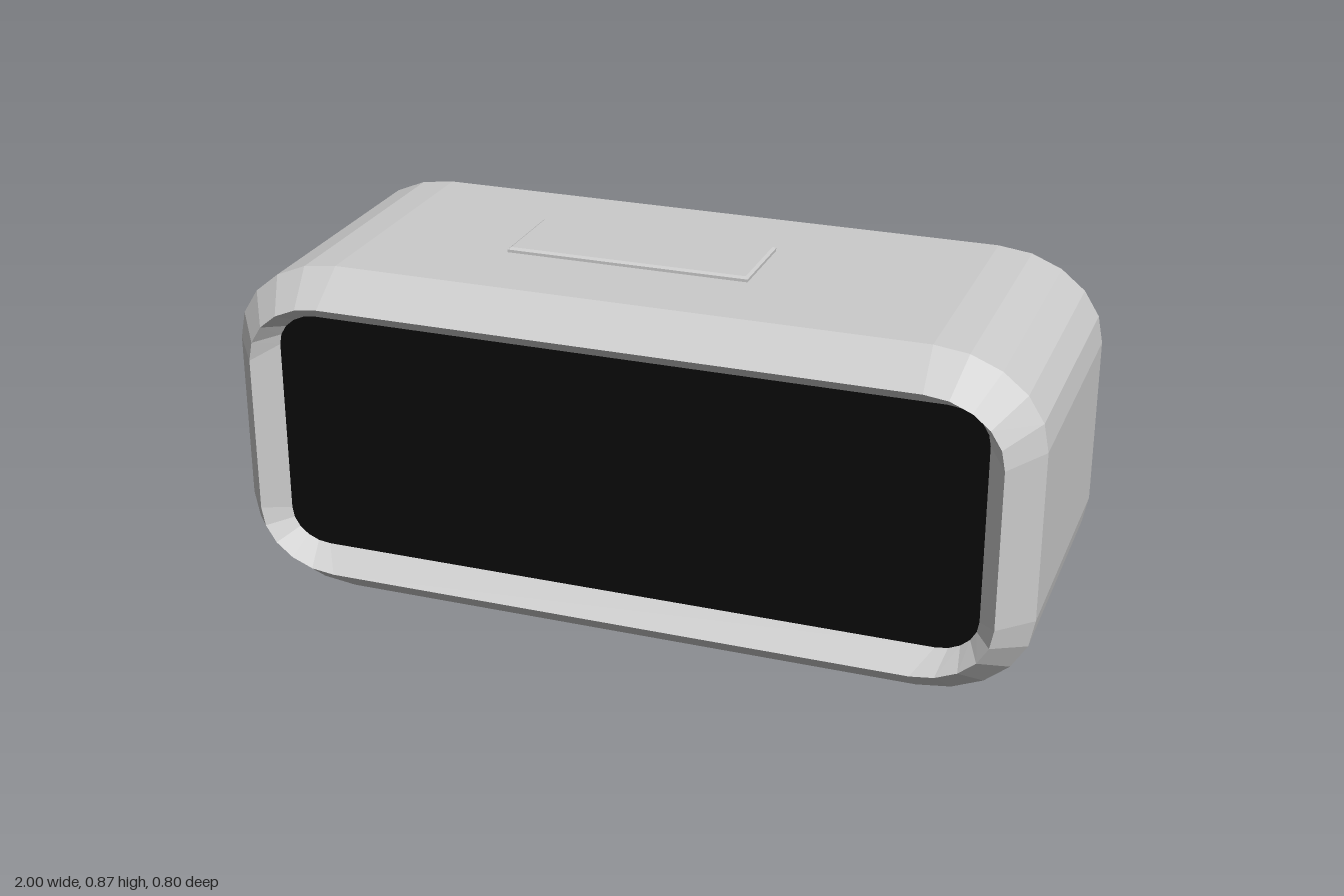
import * as THREE from 'three';

const grey = new THREE.MeshStandardMaterial({ color: 0xcccccc });
const facetGrey = new THREE.MeshStandardMaterial({ color: 0xcccccc, flatShading: true });
const black = new THREE.MeshStandardMaterial({ color: 0x0a0a0a });
const MID = 0.431; // height of the body's centre

// Counter-clockwise rounded rectangle outline
function outline(cx, cy, hw, hh, rx, ry, seg = 5) {
  const pts = [];
  const corners = [[1, 1], [-1, 1], [-1, -1], [1, -1]];
  corners.forEach(([sx, sy], c) => {
    for (let i = 0; i <= seg; i++) {
      const a = (c + i / seg) * Math.PI / 2;
      pts.push(new THREE.Vector2(
        cx + sx * (hw - rx) + rx * Math.cos(a),
        cy + sy * (hh - ry) + ry * Math.sin(a)));
    }
  });
  return pts;
}

// Skin through rings of equal point count, given from back to front
function loft(rings) {
  const pos = [], idx = [], n = rings[0].pts.length;
  rings.forEach(({ pts, z }) => pts.forEach(p => pos.push(p.x, p.y, z)));
  for (let r = 0; r < rings.length - 1; r++) {
    for (let i = 0; i < n; i++) {
      const a = r * n + i, b = r * n + (i + 1) % n;
      idx.push(a, b, b + n, a, b + n, a + n);
    }
  }
  const g = new THREE.BufferGeometry();
  g.setAttribute('position', new THREE.Float32BufferAttribute(pos, 3));
  g.setIndex(idx);
  g.computeVertexNormals();
  return g;
}

export function createModel() {
  const model = new THREE.Group();
  const add = (name, geometry, material = grey) => {
    const mesh = new THREE.Mesh(geometry, material);
    mesh.name = name;
    model.add(mesh);
    return mesh;
  };
  const ring = (hw, hh, rx, ry, z) => ({ pts: outline(0, MID, hw, hh, rx, ry), z });

  // Shell: back edge, straight sides, front chamfer, inward bezel
  const back = ring(0.994, 0.425, 0.264, 0.214, -0.38);
  const bezel = ring(0.877, 0.306, 0.1, 0.085, 0.33);
  add('shell', loft([
    back,
    ring(1, 0.431, 0.27, 0.22, -0.374),
    ring(1, 0.431, 0.27, 0.22, 0.3),
    ring(0.925, 0.353, 0.19, 0.155, 0.4),
    bezel,
  ]), facetGrey);

  // Display
  add('screen', new THREE.ShapeGeometry(new THREE.Shape(bezel.pts)), black).position.z = 0.33;

  // Back panel with slots, button wells and screw holes
  const panel = new THREE.Shape(back.pts);
  const cut = (x, y, hw, hh, r, seg = 6) =>
    panel.holes.push(new THREE.Path(outline(x, y, hw, hh, r, r, seg).reverse()));
  const buttonXs = [-0.42, -0.14, 0.14, 0.42];
  for (const s of [-1, 1]) {
    cut(s * 0.61, 0.515, 0.04, 0.15, 0.03);
    cut(s * 0.835, 0.74, 0.024, 0.024, 0.0239);
  }
  for (const x of buttonXs) cut(x, 0.598, 0.057, 0.062, 0.0565);
  cut(0, 0.345, 0.108, 0.038, 0.036);
  add('backPanel', new THREE.ExtrudeGeometry(panel, { depth: 0.04, bevelEnabled: false }))
    .position.z = -0.38;

  // Floor behind the openings
  const floor = add('recessFloor', new THREE.BoxGeometry(1.8, 0.55, 0.01));
  floor.position.set(0, 0.52, -0.335);

  // Raised caps with a small bevel, facing backwards
  const knob = (name, x, y, hw, hh, r) => {
    const b = 0.005;
    const g = new THREE.ExtrudeGeometry(
      new THREE.Shape(outline(x, y, hw - b, hh - b, r - b, r - b, 6)),
      { depth: 0.05, bevelSize: b, bevelThickness: b, bevelSegments: 2 });
    add(name, g).position.z = -0.392;
  };
  for (const s of [-1, 1]) knob('sliderKnob', s * 0.61, 0.589, 0.035, 0.07, 0.028);
  knob('switchKnob', 0.02, 0.345, 0.081, 0.031, 0.029);

  // Domed push buttons
  const profile = [[0.053, -0.04], [0.053, 0.001], [0.049, 0.007], [0.04, 0.011], [0.026, 0.014], [0, 0.016]]
    .map(([x, y]) => new THREE.Vector2(x, y));
  for (const x of buttonXs) {
    const button = add('pushButton', new THREE.LatheGeometry(profile, 28));
    button.rotation.x = -Math.PI / 2;
    button.position.set(x, 0.598, -0.38);
    button.scale.z = 1.08;
  }

  // Snooze bar on top, with sloped edges
  const bar = (hw, hd, y) => ({
    pts: [[1, 1], [-1, 1], [-1, -1], [1, -1]].map(([a, b]) => new THREE.Vector2(a * hw, b * hd)), z: y,
  });
  const snooze = add('topBar', loft([
    bar(0.305, 0.114, -0.01), bar(0.305, 0.114, 0.008), bar(0.298, 0.107, 0.013), bar(0, 0, 0.013),
  ]), facetGrey);
  snooze.rotation.x = -Math.PI / 2;
  snooze.position.set(-0.075, 0.861, -0.04);

  return model;
}
